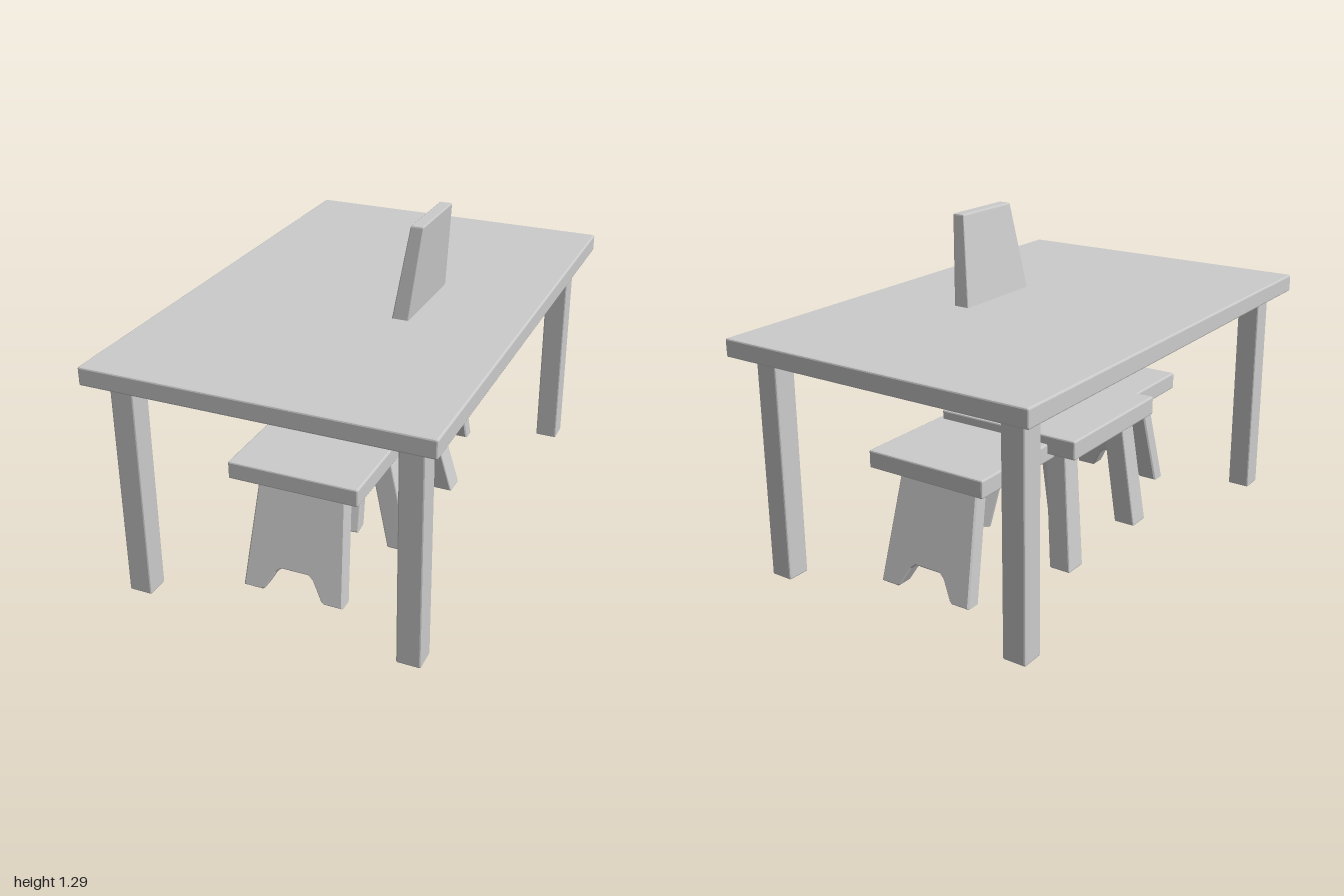
import * as THREE from 'three';
import { RoundedBoxGeometry } from 'three/addons/geometries/RoundedBoxGeometry.js';

const material = new THREE.MeshStandardMaterial({ color: 0xcccccc, flatShading: true });
const BEVEL = 0.006;

function add(parent, name, geometry) {
  const mesh = new THREE.Mesh(geometry, material);
  mesh.name = name;
  parent.add(mesh);
  return mesh;
}

function group(parent, name) {
  const g = new THREE.Group();
  g.name = name;
  parent.add(g);
  return g;
}

// Chamfered block whose bottom and top rectangles [x0, x1, z0, z1] may differ
function block(y0, y1, bottom, top = bottom) {
  const w = bottom[1] - bottom[0], d = bottom[3] - bottom[2], h = y1 - y0;
  const geo = new RoundedBoxGeometry(w, h, d, 1, BEVEL);
  const p = geo.attributes.position;
  const mix = THREE.MathUtils.lerp;
  for (let i = 0; i < p.count; i++) {
    const t = p.getY(i) / h + 0.5;
    const u = p.getX(i) / w + 0.5;
    const v = p.getZ(i) / d + 0.5;
    p.setXYZ(i,
      mix(mix(bottom[0], bottom[1], u), mix(top[0], top[1], u), t),
      y0 + t * h,
      mix(mix(bottom[2], bottom[3], v), mix(top[2], top[3], v), t));
  }
  geo.computeVertexNormals();
  return geo;
}

// Same rectangle mirrored to the other z side
const flipZ = ([x0, x1, z0, z1]) => [x0, x1, -z1, -z0];

function buildTable(parent) {
  const table = group(parent, 'table');
  add(table, 'tableTop', block(0.88, 0.95, [-0.648, 0.648, -1, 1]));
  for (const x of [-0.535, 0.535])
    for (const z of [-0.877, 0.877])
      add(table, 'tableLeg', block(0.005, 0.885, [x - 0.046, x + 0.046, z - 0.046, z + 0.046]));
}

function buildBench(parent) {
  const bench = group(parent, 'bench');
  add(bench, 'benchSeat', block(0.445, 0.515, [-0.257, 0.257, -0.71, 0.71]));

  // End board with a notch between its feet
  const half = [[0.055, 0.1], [0.075, 0.083], [0.115, 0.012], [0.125, 0.005], [0.203, 0.005], [0.172, 0.45]];
  const outline = [...half, ...half.map(([x, y]) => [-x, y]).reverse()];
  const shape = new THREE.Shape(outline.map(([x, y]) => new THREE.Vector2(x, y)));
  const thick = 0.064;
  for (const side of [-1, 1]) {
    const geo = new THREE.ExtrudeGeometry(shape, {
      depth: thick - 2 * BEVEL, bevelSize: BEVEL, bevelOffset: -BEVEL, bevelThickness: BEVEL, bevelSegments: 1,
    });
    geo.translate(0, 0, BEVEL - thick / 2);
    // Splay outwards towards the floor
    const p = geo.attributes.position;
    for (let i = 0; i < p.count; i++)
      p.setZ(i, p.getZ(i) + side * (0.702 - 0.245 * p.getY(i)));
    geo.computeVertexNormals();
    add(bench, 'benchEndBoard', geo);
  }
}

function buildChair(parent) {
  const chair = group(parent, 'chair');
  add(chair, 'chairSeat', block(0.475, 0.55, [-0.376, 0.235, -0.3, 0.3]));
  add(chair, 'chairBack', block(0.548, 1.3, [0.115, 0.2, -0.257, 0.257], [0.225, 0.275, -0.154, 0.154]));

  // Splayed legs: bottom and top rectangles
  const legs = [
    ['chairFrontLeg', [-0.356, -0.265, 0.2, 0.295], [-0.304, -0.216, 0.165, 0.252]],
    ['chairRearLeg', [0.2, 0.294, 0.2, 0.295], [0.086, 0.172, 0.165, 0.252]],
  ];
  for (const [name, bottom, top] of legs) {
    add(chair, name, block(0.005, 0.478, bottom, top));
    add(chair, name, block(0.005, 0.478, flipZ(bottom), flipZ(top)));
  }
}

function buildStool(parent) {
  const stool = group(parent, 'stool');
  // Faceted round seat with chamfered rims
  const r = 0.257, b = 0.01;
  const profile = [[0, 0.433], [r - b, 0.433], [r, 0.443], [r, 0.514], [r - b, 0.524], [0, 0.524]];
  const seat = new THREE.LatheGeometry(profile.map(([x, y]) => new THREE.Vector2(x, y)), 12, Math.PI / 12);
  add(stool, 'stoolSeat', seat);

  // Three splayed legs spaced evenly around the seat
  for (let i = 0; i < 3; i++) {
    const geo = block(0.005, 0.438, [0.184, 0.254, -0.035, 0.035], [0.08, 0.145, -0.032, 0.032]);
    const leg = add(stool, 'stoolLeg', geo);
    leg.rotation.y = -THREE.MathUtils.degToRad(85 + i * 120);
  }
}

export function createModel() {
  const model = new THREE.Group();
  model.name = 'furnitureSet';
  buildTable(model);
  buildBench(model);
  buildChair(model);
  buildStool(model);
  return model;
}
